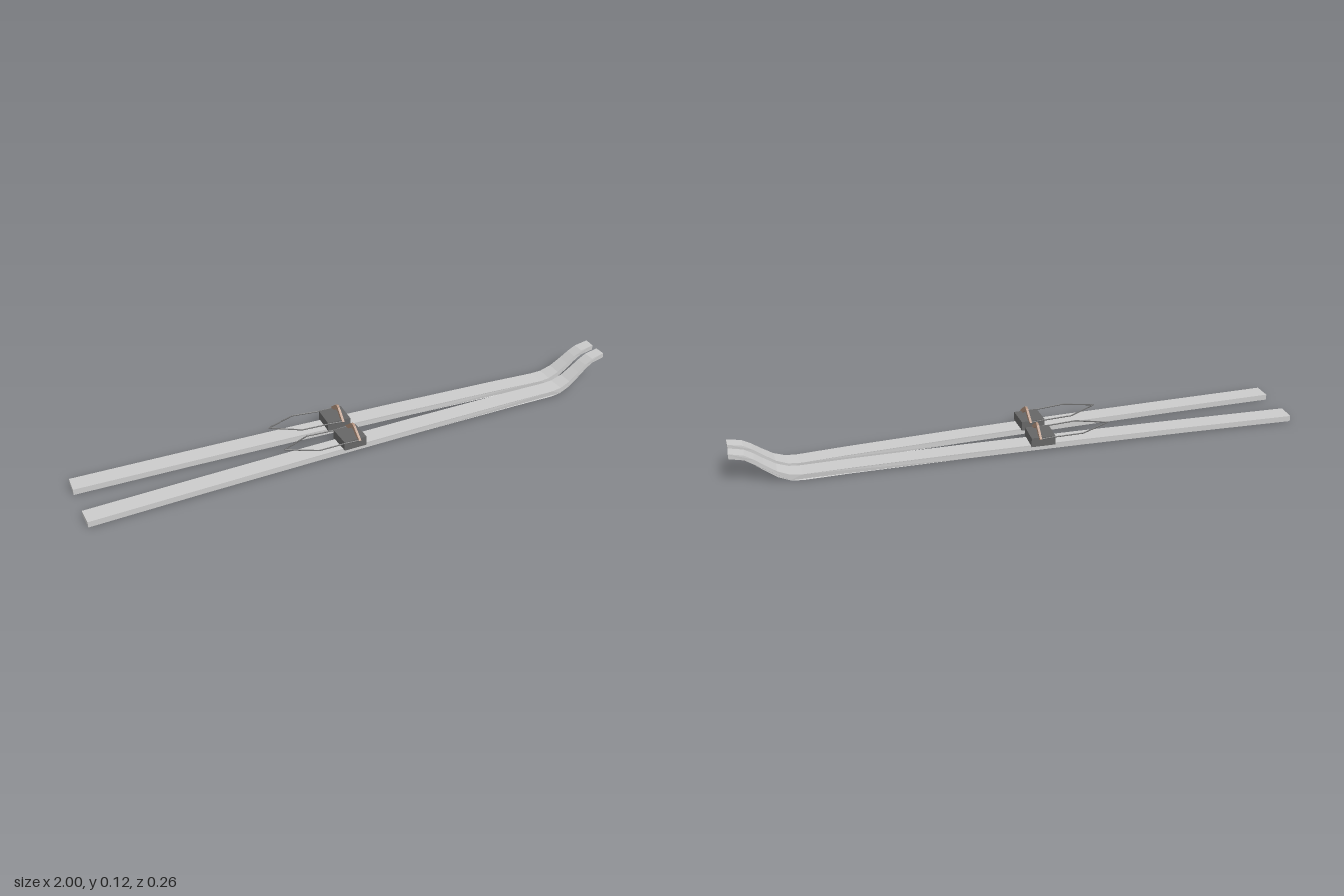
import * as THREE from 'three';

const material = (color) => new THREE.MeshStandardMaterial({ color, flatShading: true, side: THREE.DoubleSide });

// Side profile of a ski: [x, underside y, top y]
const PROFILE = [
  [-1, 0, 0.021], [-0.6, 0.005, 0.025], [-0.2, 0.007, 0.028], [0.2, 0.007, 0.028],
  [0.6, 0.004, 0.025], [0.77, 0, 0.022], [0.81, 0.004, 0.026], [0.85, 0.02, 0.042],
  [0.89, 0.049, 0.07], [0.92, 0.073, 0.093], [0.95, 0.093, 0.111], [1, 0.104, 0.122],
];

// Full width until the shovel, then a smooth taper to the tip
const skiWidth = (x) => THREE.MathUtils.lerp(0.067, 0.0425, THREE.MathUtils.smoothstep(x, 0.74, 0.99));

function skiGeometry() {
  const points = [
    ...PROFILE.map(([x, low]) => new THREE.Vector2(x, low)),
    ...[...PROFILE].reverse().map(([x, , high]) => new THREE.Vector2(x, high)),
  ];
  const geometry = new THREE.ExtrudeGeometry(new THREE.Shape(points), { depth: 1, bevelEnabled: false });
  geometry.translate(0, 0, -0.5);
  const position = geometry.attributes.position;
  for (let i = 0; i < position.count; i++) {
    position.setZ(i, position.getZ(i) * skiWidth(position.getX(i)));
  }
  geometry.computeVertexNormals();
  return geometry;
}

// Angled toe strap, drawn in (z, y) and given a thin depth along x
function strapGeometry() {
  const shape = new THREE.Shape([
    [-0.056, 0.058], [-0.012, 0.092], [0, 0.097], [0.012, 0.092], [0.056, 0.058],
    [0.044, 0.05], [0.008, 0.077], [-0.008, 0.077], [-0.044, 0.05],
  ].map(([z, y]) => new THREE.Vector2(z, y)));
  const geometry = new THREE.ExtrudeGeometry(shape, { depth: 0.008, bevelEnabled: false });
  return geometry.rotateY(Math.PI / 2).translate(-0.05, 0, 0);
}

// Heel cable running in a pointed loop behind the toe block
function cableGeometry() {
  const path = new THREE.CurvePath();
  const points = [
    [-0.045, 0.056, 0.05], [-0.1, 0.057, 0.046], [-0.2, 0.061, 0.05], [-0.305, 0.066, 0],
    [-0.2, 0.061, -0.05], [-0.1, 0.057, -0.046], [-0.045, 0.056, -0.05],
  ].map((p) => new THREE.Vector3(...p));
  for (let i = 1; i < points.length; i++) path.add(new THREE.LineCurve3(points[i - 1], points[i]));
  return new THREE.TubeGeometry(path, 60, 0.0025, 5, false);
}

export function createModel() {
  const model = new THREE.Group();
  const grey = material(0xcccccc);
  const dark = material(0x666666);
  const brown = material(0xb0907c);
  const parts = [
    ['ski', skiGeometry(), grey],
    ['toeBlock', new THREE.BoxGeometry(0.085, 0.034, 0.088).translate(-0.058, 0.043, 0), dark],
    ['toeStrap', strapGeometry(), brown],
    ['heelCable', cableGeometry(), dark],
  ];

  // The two skis converge toward their tips at slightly different angles
  for (const [name, z, yaw] of [['leftSki', 0.0615, 0.035], ['rightSki', -0.069, -0.027]]) {
    const ski = new THREE.Group();
    ski.name = name;
    for (const [partName, geometry, mat] of parts) {
      const mesh = new THREE.Mesh(geometry, mat);
      mesh.name = partName;
      ski.add(mesh);
    }
    ski.position.z = z;
    ski.rotation.y = yaw;
    model.add(ski);
  }
  return model;
}
